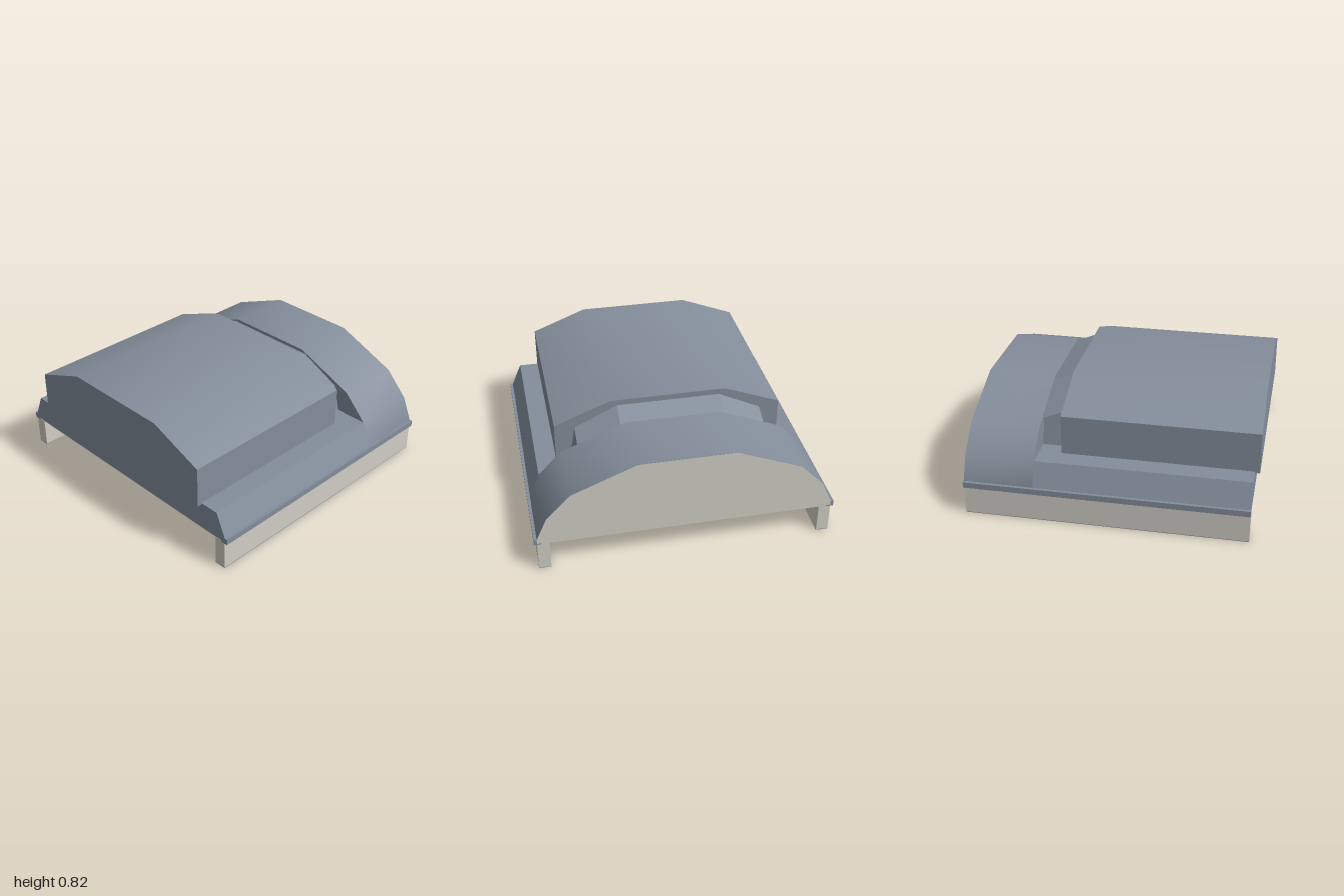
import * as THREE from 'three';
import { toCreasedNormals } from 'three/addons/utils/BufferGeometryUtils.js';

const BACK = -0.955, FRONT = 0.925;

// Symmetric outline from the points of its +x half, listed from the bottom up
function halfShape(half) {
  const mirrored = half.map(([x, y]) => [-x, y]).reverse();
  return new THREE.Shape([...half, ...mirrored].map(([x, y]) => new THREE.Vector2(x, y)));
}

// Outline swept along z from z0 to z1
function sweep(half, z0, z1) {
  const g = new THREE.ExtrudeGeometry(halfShape(half), { depth: z1 - z0, bevelEnabled: false });
  return g.translate(0, 0, z0);
}

export function createModel() {
  const steel = new THREE.MeshStandardMaterial({ color: 0x848e9b });
  steel.name = 'blueGreySteel';
  const stone = new THREE.MeshStandardMaterial({ color: 0xd0cec6 });
  stone.name = 'paleStone';

  const model = new THREE.Group();
  model.name = 'armouredCover';
  const add = (name, geometry, material) => {
    const mesh = new THREE.Mesh(geometry, material);
    mesh.name = name;
    model.add(mesh);
    return mesh;
  };
  const box = (name, x0, x1, y0, y1, z0, z1, material) =>
    add(name, new THREE.BoxGeometry(x1 - x0, y1 - y0, z1 - z0)
      .translate((x0 + x1) / 2, (y0 + y1) / 2, (z0 + z1) / 2), material);

  // Low deck with sloping flanks
  add('deck', sweep([[0.98, 0.21], [0.98, 0.24], [0.91, 0.4]], -0.49, FRONT), steel);

  // Rear arch, smooth over the top, with a pale end wall
  const arch = [[0.98, 0.21], [0.98, 0.24], [0.91, 0.4], [0.75, 0.565], [0.32, 0.74]];
  add('rearArch', toCreasedNormals(sweep(arch, BACK, -0.49), 0.5), steel);
  const wall = new THREE.ShapeGeometry(halfShape(arch)).rotateY(Math.PI);
  add('rearWall', wall.translate(0, 0, BACK - 0.002), stone);

  // Raised hood overhanging the front
  const hood = [[0.775, 0.39], [0.775, 0.67], [0.39, 0.82]];
  add('hood', toCreasedNormals(sweep(hood, -0.34, 0.957), 0.5), steel);

  // Neck between hood and arch, its upper edges falling toward the back
  const neck = sweep([[0.68, 0.395], [0.64, 0.64], [0.35, 0.78]], -0.49, -0.34);
  const p = neck.attributes.position;
  for (let i = 0; i < p.count; i++) {
    if (p.getZ(i) < -0.4 && p.getY(i) > 0.5) p.setY(i, p.getY(i) - 0.063);
  }
  neck.computeVertexNormals();
  add('neck', neck, steel);

  // Pale underside
  box('underside', -0.95, 0.95, 0.204, 0.21, BACK, FRONT - 0.002, stone);

  // Side rails with dark soles, and the trim above them
  for (const s of [-1, 1]) {
    const side = s > 0 ? 'left' : 'right';
    const span = (a, b) => (s > 0 ? [a, b] : [-b, -a]);
    box(side + 'Rail', ...span(0.9, 0.98), 0.004, 0.205, BACK, FRONT, stone);
    box(side + 'RailSole', ...span(0.9, 0.98), 0, 0.004, BACK, FRONT, steel);
    box(side + 'Trim', ...span(0.95, 1), 0.2, 0.24, BACK - 0.001, FRONT + 0.001, steel);
  }
  return model;
}
